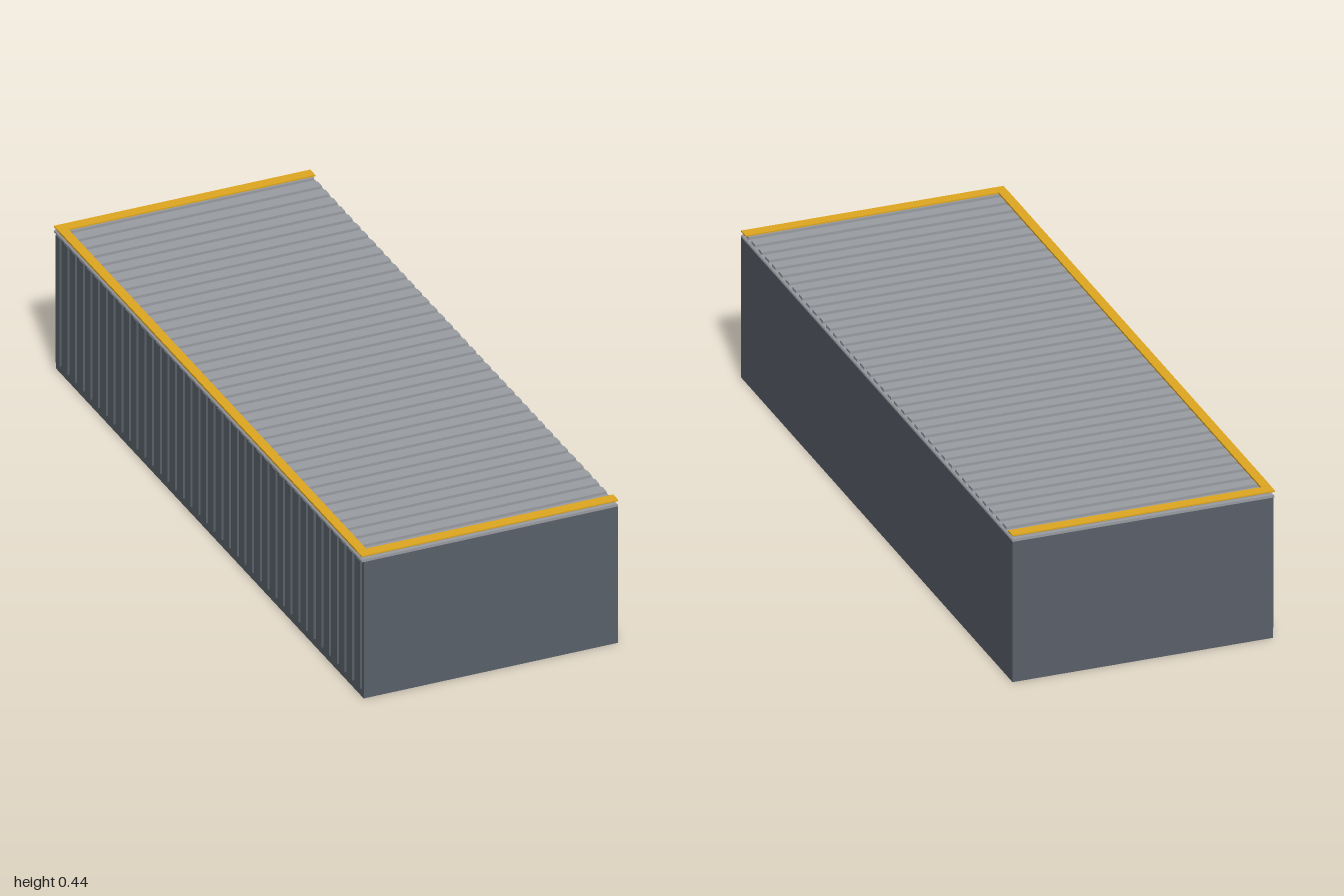
import * as THREE from 'three';

const bodyMat = new THREE.MeshStandardMaterial({ color: 0x5a616a });
const treadMat = new THREE.MeshStandardMaterial({ color: 0x9a9da3 });
const yellowMat = new THREE.MeshStandardMaterial({ color: 0xe0a820 });

// Box given by its minimum and maximum on each axis
function box(name, [x0, x1], [y0, y1], [z0, z1], material) {
  const mesh = new THREE.Mesh(new THREE.BoxGeometry(x1 - x0, y1 - y0, z1 - z0), material);
  mesh.position.set((x0 + x1) / 2, (y0 + y1) / 2, (z0 + z1) / 2);
  mesh.name = name;
  return mesh;
}

export function createModel() {
  const model = new THREE.Group();
  model.name = 'escalatorStep';

  // Solid step body
  model.add(box('stepBody', [-0.371, 0.376], [0, 0.417], [-1, 1], bodyMat));

  // Tread plate with chamfered long edges
  const profile = new THREE.Shape([
    new THREE.Vector2(-0.376, 0.417),
    new THREE.Vector2(0.376, 0.417),
    new THREE.Vector2(0.376, 0.421),
    new THREE.Vector2(0.373, 0.425),
    new THREE.Vector2(-0.373, 0.425),
    new THREE.Vector2(-0.376, 0.421),
  ]);
  const plate = new THREE.Mesh(
    new THREE.ExtrudeGeometry(profile, { depth: 2, bevelEnabled: false }), treadMat);
  plate.position.z = -1;
  plate.name = 'treadPlate';
  model.add(plate);

  // Cleats across the tread and matching ribs down the riser
  const treadCleats = new THREE.Group();
  treadCleats.name = 'treadCleats';
  const riserRibs = new THREE.Group();
  riserRibs.name = 'riserRibs';
  const count = 40, pitch = 0.05, half = 0.0135;
  for (let i = 0; i < count; i++) {
    const z = (i - (count - 1) / 2) * pitch;
    const span = [z - half, z + half];
    treadCleats.add(box('treadCleat', [-0.37, 0.37], [0.425, 0.433], span, treadMat));
    riserRibs.add(box('riserRib', [-0.377, -0.371], [0.025, 0.415], span, bodyMat));
  }
  model.add(treadCleats, riserRibs);

  // Yellow safety edging on both ends and above the riser
  const edging = new THREE.Group();
  edging.name = 'safetyEdging';
  for (const s of [-1, 1]) {
    const end = box('endStrip', [-0.377, 0.376], [0.433, 0.437], [-0.0165, 0.0165], yellowMat);
    end.position.z = s * 0.9835;
    edging.add(end);
  }
  edging.add(box('riserStrip', [-0.377, -0.35], [0.432, 0.438], [-0.967, 0.967], yellowMat));
  model.add(edging);

  return model;
}
